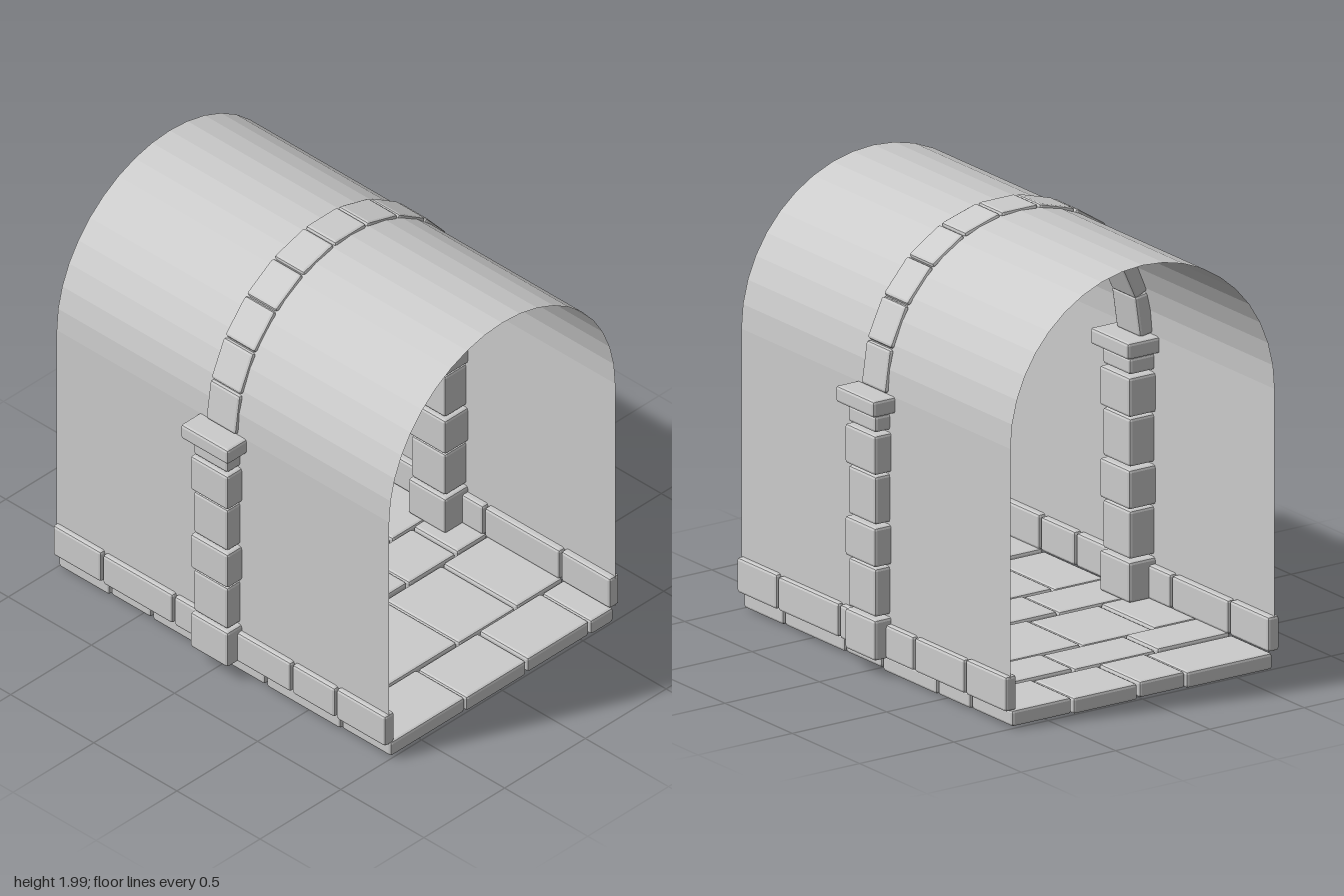
import * as THREE from 'three';
import { RoundedBoxGeometry } from 'three/addons/geometries/RoundedBoxGeometry.js';

const stone = new THREE.MeshStandardMaterial({ color: 0xcccccc, flatShading: true });
const sheet = new THREE.MeshStandardMaterial({ color: 0xcccccc, flatShading: true, side: THREE.DoubleSide });

const SPRING = 1.275; // height where the arch and vault start to curve
const GAP = 0.01;

// Chamfered stone block given by its min/max extents
function block(name, x0, x1, y0, y1, z0, z1) {
  const geo = new RoundedBoxGeometry(x1 - x0, y1 - y0, z1 - z0, 1, 0.013);
  const mesh = new THREE.Mesh(geo, stone);
  mesh.position.set((x0 + x1) / 2, (y0 + y1) / 2, (z0 + z1) / 2);
  mesh.name = name;
  return mesh;
}

// Thin open barrel vault: straight walls joined by a faceted half circle
function makeVault() {
  const r = 0.7, segments = 20, bottom = 0.08;
  const profile = [[r, bottom]];
  for (let i = 0; i <= segments; i++) {
    const a = (i / segments) * Math.PI;
    profile.push([r * Math.cos(a), SPRING + r * Math.sin(a)]);
  }
  profile.push([-r, bottom]);
  const pos = [], index = [];
  profile.forEach(([x, y], i) => {
    pos.push(x, y, 1, x, y, -1);
    if (i > 0) {
      const a = 2 * (i - 1);
      index.push(a, a + 1, a + 2, a + 1, a + 3, a + 2);
    }
  });
  const geo = new THREE.BufferGeometry();
  geo.setAttribute('position', new THREE.Float32BufferAttribute(pos, 3));
  geo.setIndex(index);
  geo.computeVertexNormals();
  const mesh = new THREE.Mesh(geo, sheet);
  mesh.name = 'vault';
  return mesh;
}

// Ring of eleven voussoirs
function makeArch() {
  const arch = new THREE.Group();
  arch.name = 'arch';
  const count = 11;
  for (let i = 0; i < count; i++) {
    const a = ((i + 0.5) / count - 0.5) * Math.PI;
    const stoneBlock = block('archStone', -0.097, 0.097, -0.04, 0.04, -0.09, 0.09);
    stoneBlock.position.set(-0.67 * Math.sin(a), SPRING + 0.67 * Math.cos(a), 0);
    stoneBlock.rotation.z = a;
    arch.add(stoneBlock);
  }
  return arch;
}

// Pillar of alternating wide and narrow blocks with a capital
function makePillar(name, cx) {
  const pillar = new THREE.Group();
  pillar.name = name;
  const courses = [ // bottom, top, half width
    [0.08, 0.265, 0.113], [0.275, 0.495, 0.103], [0.505, 0.685, 0.113],
    [0.695, 0.915, 0.103], [0.925, 1.105, 0.113], [1.115, 1.19, 0.103],
    [1.2, 1.275, 0.142],
  ];
  courses.forEach(([y0, y1, h], i) => {
    const part = i === courses.length - 1 ? 'capital' : 'pillarBlock';
    pillar.add(block(part, cx - h, cx + h, y0, y1, -h, h));
  });
  return pillar;
}

// Row of kerb stones along one wall, split at the given z joints
function makeKerb(name, side, joints) {
  const kerb = new THREE.Group();
  kerb.name = name;
  for (let i = 0; i + 1 < joints.length; i++) {
    const end = i === 0 || i === joints.length - 2;
    const z0 = joints[i] + (i > 0 ? GAP / 2 : 0);
    const z1 = joints[i + 1] - (i < joints.length - 2 ? GAP / 2 : 0);
    const k = block('kerbStone', -0.03, 0.03, 0.08, end ? 0.24 : 0.235, z0, z1);
    k.position.x = side * 0.696;
    kerb.add(k);
  }
  return kerb;
}

// Paving in rows across the floor, joints staggered from row to row
function makeFloor() {
  const floor = new THREE.Group();
  floor.name = 'floor';
  const rows = [1, 0.7, 0.245, -0.03, -0.44, -0.69, -1];
  const joints = [
    [-0.225, 0.155, 0.545], [-0.42, 0.04, 0.4], [-0.25, 0.2, 0.5],
    [-0.46, -0.08, 0.38], [-0.3, 0.14, 0.52], [-0.23, 0.02, 0.37],
  ];
  joints.forEach((cuts, r) => {
    const xs = [-0.695, ...cuts, 0.695];
    for (let i = 0; i + 1 < xs.length; i++) {
      const drop = (r * 3 + i * 2) % 4 * 0.003; // slightly uneven slabs
      floor.add(block('pavingSlab', xs[i] + GAP / 2, xs[i + 1] - GAP / 2,
        0.009 - drop, 0.084 - drop,
        rows[r + 1] + (r < 5 ? GAP / 2 : 0), rows[r] - (r > 0 ? GAP / 2 : 0)));
    }
  });
  return floor;
}

export function createModel() {
  const model = new THREE.Group();
  model.name = 'vaultedPassage';
  model.add(
    makeFloor(),
    makeVault(),
    makeArch(),
    makePillar('leftPillar', 0.673),
    makePillar('rightPillar', -0.676),
    makeKerb('leftKerb', 1, [-1, -0.695, -0.315, -0.04, 0.24, 0.7, 1]),
    makeKerb('rightKerb', -1, [-1, -0.705, -0.275, 0.035, 0.435, 0.7, 1]),
  );
  return model;
}
